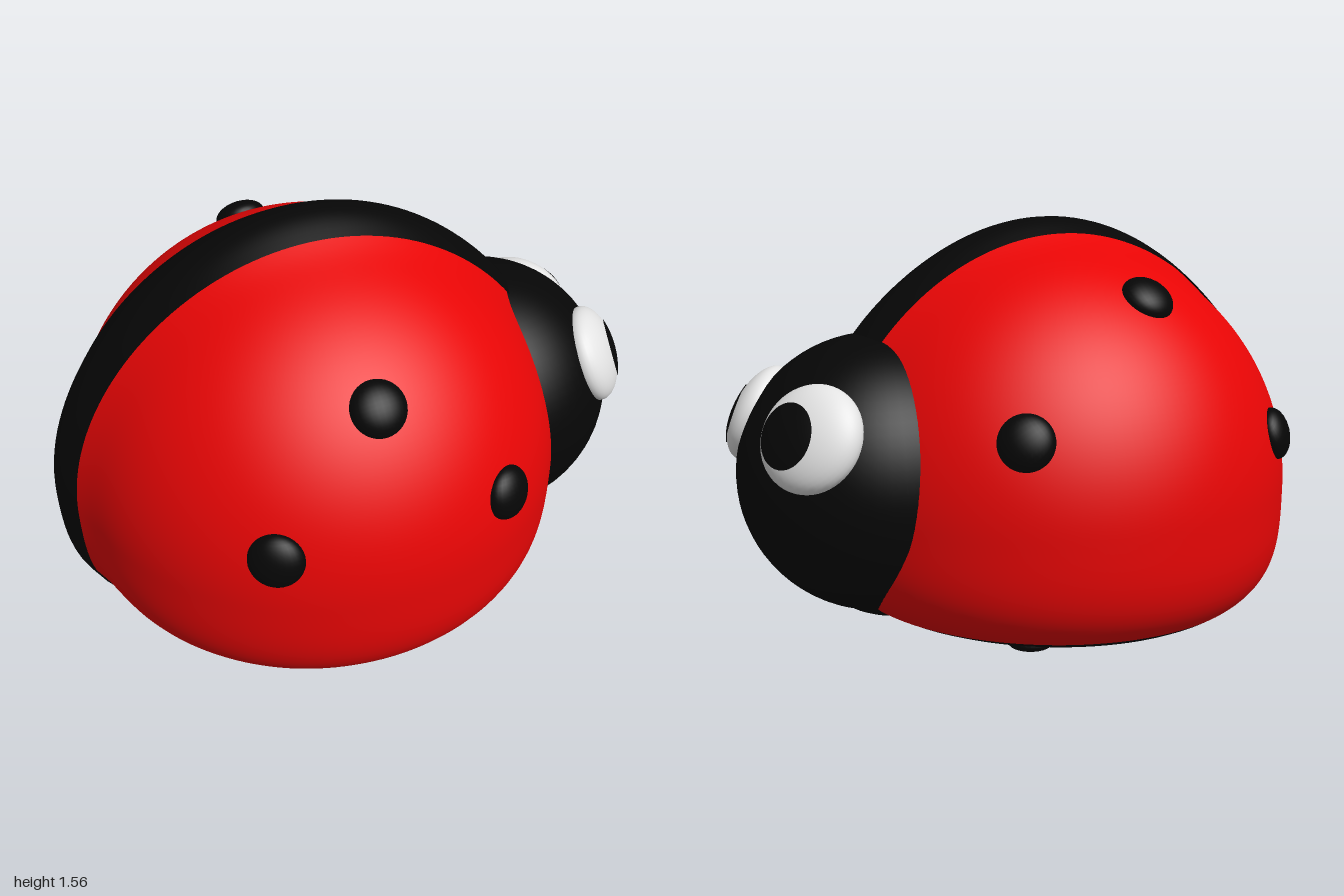
import * as THREE from 'three';

const R = 0.836;           // shell radius
const CENTER = new THREE.Vector3(-0.1, 0.65, 0);
const YAW = -0.143;
const RIDGE_Z = -0.015;    // ridge line, slightly off the middle

// Point on the body for a direction: round above, flattened below, raised along the back
function bodyPoint(d, lift = 0) {
  let r = R;
  if (d.y < 0) {
    const n = 3.6;
    const depth = 0.47 - 0.025 * d.x;
    const flat = Math.hypot(d.x, d.z) / R;
    r = Math.pow(Math.pow(flat, n) + Math.pow(-d.y / depth, n), -1 / n);
  }
  // The ridge is highest at the top and tail, and fades out low down and under the head
  const fade = THREE.MathUtils.smoothstep(d.y - 0.5 * Math.max(d.x, 0), -0.7, -0.3);
  const height = 0.052 + 0.013 * Math.cos(4 * Math.atan2(d.y, d.x));
  const w = d.z * r - RIDGE_Z;
  return d.clone().multiplyScalar(r + lift + height * fade * Math.exp(-((w / 0.135) ** 2)));
}

// Moves every vertex of a geometry by a rule
function reshape(geometry, rule) {
  const p = geometry.attributes.position;
  const v = new THREE.Vector3();
  for (let i = 0; i < p.count; i++) {
    const q = rule(v.fromBufferAttribute(p, i));
    p.setXYZ(i, q.x, q.y, q.z);
  }
  geometry.computeVertexNormals();
  return geometry;
}

export function createModel() {
  const black = new THREE.MeshStandardMaterial({ color: 0x060606, side: THREE.DoubleSide });
  black.name = 'black';
  const red = new THREE.MeshStandardMaterial({ color: 0xe90505 });
  red.name = 'red';
  const white = new THREE.MeshStandardMaterial({ color: 0xe2e2e2 });
  white.name = 'white';

  const model = new THREE.Group();
  model.name = 'ladybird';
  const add = (parent, name, geometry, material) => {
    const mesh = new THREE.Mesh(geometry, material);
    mesh.name = name;
    parent.add(mesh);
    return mesh;
  };
  const FORWARD = new THREE.Vector3(0, 0, 1);

  // Body, turned slightly about the vertical
  const body = new THREE.Group();
  body.name = 'body';
  body.position.copy(CENTER);
  body.rotation.y = YAW;
  model.add(body);

  const rim = THREE.MathUtils.degToRad(117);
  add(body, 'wingShell',
    reshape(new THREE.SphereGeometry(1, 160, 72, 0, Math.PI * 2, 0, rim), (v) => bodyPoint(v)), red);
  add(body, 'underside',
    reshape(new THREE.SphereGeometry(1, 160, 32, 0, Math.PI * 2, rim, Math.PI - rim), (v) => bodyPoint(v)), black);

  // Black ridge running over the back from the head to the tail, wider at the tail
  add(body, 'backRidge', reshape(new THREE.PlaneGeometry(1, 1, 90, 16), (v) => {
    const t = THREE.MathUtils.lerp(0.12, 1.19, v.x + 0.5) * Math.PI;
    const w = (v.y * (0.265 + 0.04 * v.x) + RIDGE_Z) / R;
    const c = Math.sqrt(1 - w * w);
    return bodyPoint(new THREE.Vector3(Math.cos(t) * c, Math.sin(t) * c, w), 0.006);
  }), black);

  // Head, with a chin that joins it to the underside
  const headCenter = new THREE.Vector3(0.535, 0.735, 0.073);
  add(model, 'head', new THREE.SphereGeometry(0.461, 64, 40), black).position.copy(headCenter);
  const chin = add(model, 'chin', new THREE.SphereGeometry(1, 40, 28), black);
  chin.position.set(0.5, 0.5, 0.07);
  chin.scale.set(0.29, 0.26, 0.32);

  // Eyes: flattened balls with pupils lying on their surface
  const eyes = [
    { name: 'leftSideEye', at: [0.295, 0.186, 0.255], look: [0.39, 0.185, 0.255] },
    { name: 'rightSideEye', at: [0.325, 0.186, -0.208], look: [0.42, 0.195, -0.17] },
  ];
  for (const { name, at, look } of eyes) {
    const dir = new THREE.Vector3(...at).normalize();
    const eye = new THREE.Group();
    eye.name = name;
    eye.position.copy(headCenter).addScaledVector(dir, 0.437);
    eye.quaternion.setFromUnitVectors(FORWARD, dir);
    eye.scale.set(0.17, 0.17, 0.08);
    model.add(eye);
    add(eye, 'eyeWhite', new THREE.SphereGeometry(1, 40, 28), white);

    const aim = new THREE.Vector3(...look).normalize().sub(dir)
      .applyQuaternion(eye.quaternion.clone().invert()).setZ(0).setLength(0.36);
    aim.z = Math.sqrt(1 - aim.lengthSq());
    const pupil = add(eye, 'pupil',
      new THREE.SphereGeometry(1.03, 36, 10, 0, Math.PI * 2, 0, 0.63), black);
    pupil.quaternion.setFromUnitVectors(new THREE.Vector3(0, 1, 0), aim);
  }

  // Raised spots, three on each wing
  const spots = [
    [-0.19, 1.21, 0.6], [-0.565, 0.84, 0.68], [0.195, 0.86, 0.76],
    [-0.125, 1.31, -0.5], [-0.56, 0.86, -0.68], [0.41, 0.94, -0.6],
  ];
  for (const s of spots) {
    const dir = new THREE.Vector3(...s).sub(CENTER).normalize();
    const spot = add(model, 'spot', new THREE.SphereGeometry(1, 28, 18), black);
    spot.position.copy(CENTER).addScaledVector(dir, R - 0.003);
    spot.quaternion.setFromUnitVectors(FORWARD, dir);
    spot.scale.set(0.087, 0.087, 0.05);
  }

  // Small turned foot beneath the belly
  const profile = [
    [0, 0], [0.08, 0], [0.098, 0.02], [0.095, 0.045], [0.06, 0.08], [0.045, 0.105],
    [0.06, 0.118], [0.08, 0.135], [0.088, 0.165], [0.08, 0.2], [0, 0.22],
  ].map(([x, y]) => new THREE.Vector2(x, y));
  add(model, 'foot', new THREE.LatheGeometry(profile, 32), black).position.set(-0.04, 0, 0.005);

  return model;
}
